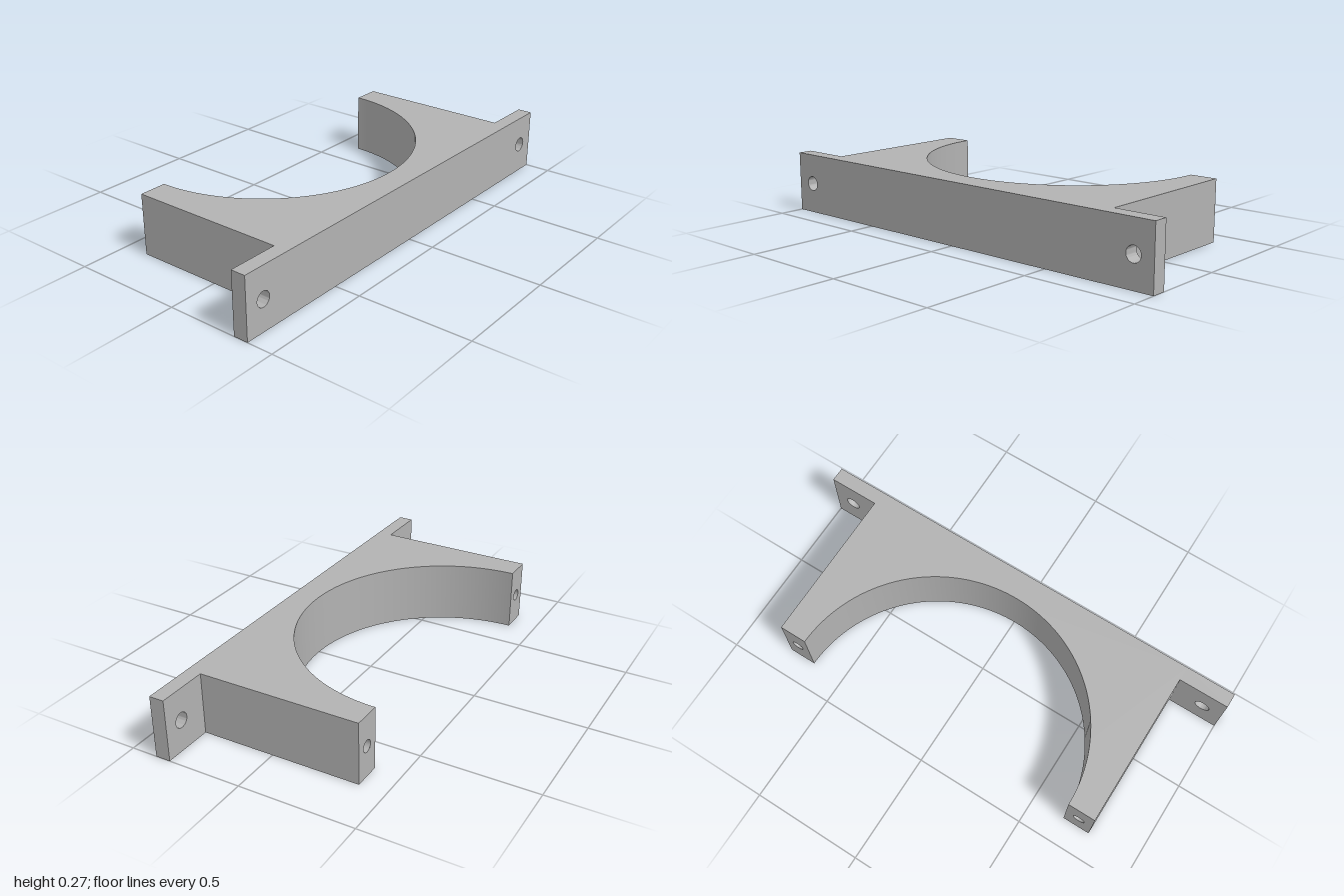
import * as THREE from 'three';
import { toCreasedNormals } from 'three/addons/utils/BufferGeometryUtils.js';

const H = 0.272, FRONT = 0.385, BACK = -0.385;   // height and depth limits
const ARM = 0.775, R = 0.652;                    // outer half width, saddle radius
const FLANGE = 0.065;                            // flange thickness
const SEG = 32;

// Rectangle centred on the origin with a round hole at (hx, 0)
function plateShape(w, hx, r) {
  const s = new THREE.Shape();
  s.moveTo(-w / 2, -H / 2).lineTo(w / 2, -H / 2).lineTo(w / 2, H / 2).lineTo(-w / 2, H / 2).closePath();
  s.holes.push(new THREE.Path().absarc(hx, 0, r, 0, Math.PI * 2, true));
  return s;
}

// Saddle block, left open at the arm ends so that drilled faces can close them
function saddleGeometry() {
  const s = new THREE.Shape();
  s.moveTo(-ARM, BACK).lineTo(-R, BACK);
  s.absarc(0, BACK, R, Math.PI, 0, true);
  s.lineTo(ARM, BACK).lineTo(ARM, FRONT).lineTo(-ARM, FRONT).closePath();
  const g = new THREE.ExtrudeGeometry(s, { depth: H, bevelEnabled: false, curveSegments: 72 });
  g.rotateX(Math.PI / 2).translate(0, H, 0);
  const flat = g.index ? g.toNonIndexed() : g;
  const p = flat.attributes.position, kept = [];
  for (let i = 0; i < p.count; i += 3) {
    const isEnd = [0, 1, 2].every(k => p.getZ(i + k) < BACK + 1e-4);
    if (isEnd) continue;
    for (let k = 0; k < 3; k++) kept.push(p.getX(i + k), p.getY(i + k), p.getZ(i + k));
  }
  const out = new THREE.BufferGeometry();
  out.setAttribute('position', new THREE.Float32BufferAttribute(kept, 3));
  return toCreasedNormals(out, 0.5);
}

export function createModel() {
  const model = new THREE.Group();
  model.name = 'saddleBracket';
  const grey = new THREE.MeshStandardMaterial({ color: 0xb2b2b2, side: THREE.DoubleSide });
  grey.name = 'grey';

  const add = (name, geometry, x, y, z) => {
    const mesh = new THREE.Mesh(geometry, grey);
    mesh.name = name;
    mesh.position.set(x, y, z);
    model.add(mesh);
  };

  add('saddleBlock', saddleGeometry(), 0, 0, 0);

  const flangeW = 1 - ARM, armW = ARM - R, armX = (ARM + R) / 2;
  const boreR = 0.026, boreDepth = 0.2;
  for (const side of [1, -1]) {
    const label = side > 0 ? 'left' : 'right';

    // Mounting flange with a through hole
    const flange = new THREE.ExtrudeGeometry(plateShape(flangeW, side * (0.91 - (1 + ARM) / 2), 0.033),
      { depth: FLANGE, bevelEnabled: false, curveSegments: SEG });
    add(label + 'Flange', toCreasedNormals(flange, 0.5), side * (1 + ARM) / 2, H / 2, FRONT - FLANGE);

    // Arm end face with a blind screw hole
    const end = new THREE.ShapeGeometry(plateShape(armW, 0, boreR), SEG).rotateY(Math.PI);
    add(label + 'ArmEnd', end, side * armX, H / 2, BACK);
    const bore = new THREE.CylinderGeometry(boreR, boreR, boreDepth, SEG, 1, true).rotateX(Math.PI / 2);
    add(label + 'ScrewHole', bore, side * armX, H / 2, BACK + boreDepth / 2);
    const floor = new THREE.CircleGeometry(boreR, SEG).rotateY(Math.PI);
    add(label + 'ScrewHoleFloor', floor, side * armX, H / 2, BACK + boreDepth);
  }
  return model;
}
